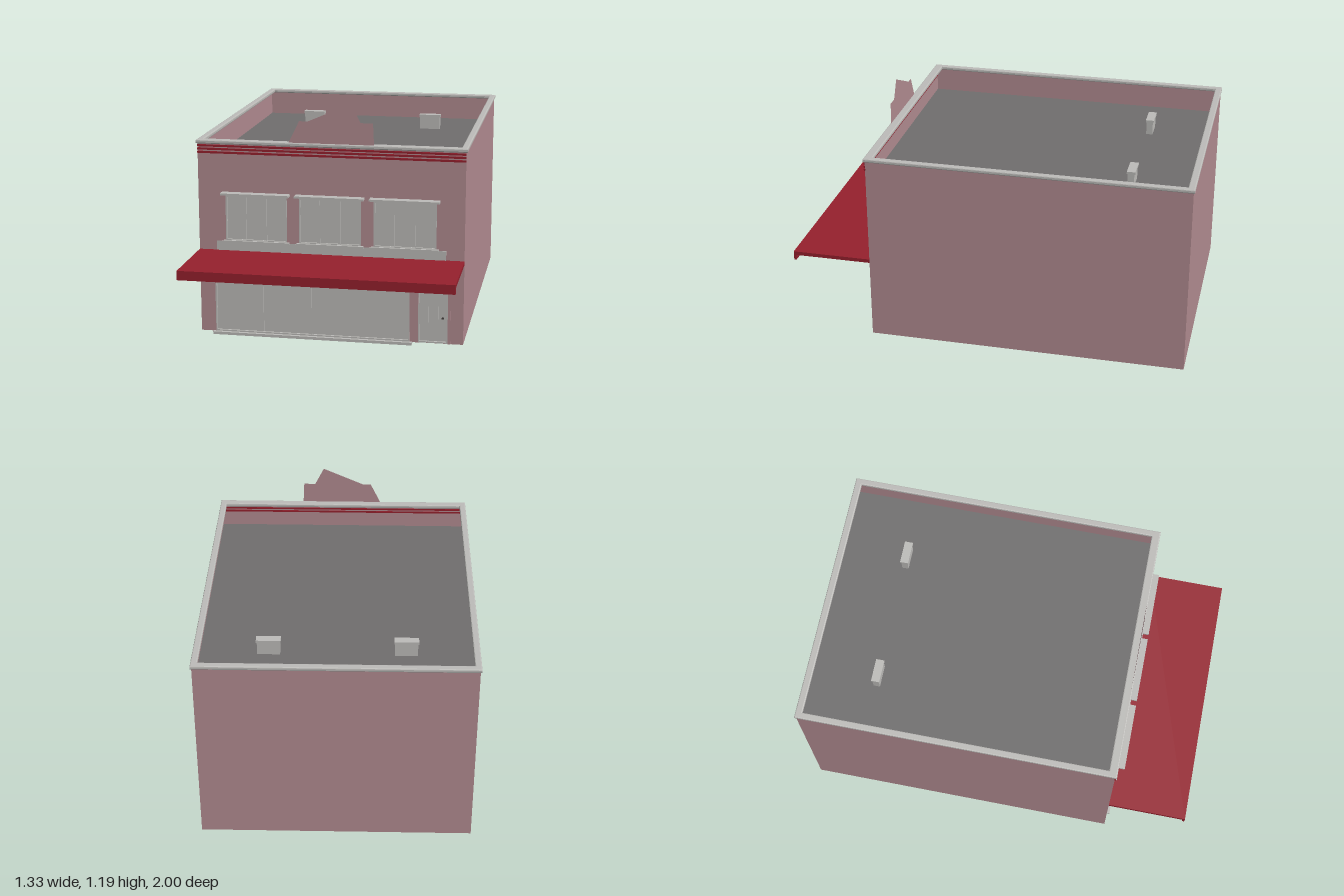
import * as THREE from 'three';

const mat = (name, color, side = THREE.FrontSide) => {
  const m = new THREE.MeshStandardMaterial({ color, side });
  m.name = name;
  return m;
};

export function createModel() {
  const model = new THREE.Group();
  model.name = 'shopBuilding';
  const pink = mat('pinkWall', 0xb28c91, THREE.DoubleSide);
  const grey = mat('greyTrim', 0xbdbcb9, THREE.DoubleSide);
  const red = mat('redPaint', 0x96202d);
  const roofGrey = mat('roofGrey', 0x706e6e, THREE.DoubleSide);
  const dark = mat('darkMetal', 0x45403f);

  const add = (name, geo, material, parent = model) => {
    const mesh = new THREE.Mesh(geo, material);
    mesh.name = name;
    parent.add(mesh);
    return mesh;
  };
  // Box given by its extents on each axis
  const box = (name, material, [x0, x1], [y0, y1], [z0, z1], parent) => {
    const m = add(name, new THREE.BoxGeometry(x1 - x0, y1 - y0, z1 - z0), material, parent);
    m.position.set((x0 + x1) / 2, (y0 + y1) / 2, (z0 + z1) / 2);
    return m;
  };
  const rect = (PathClass, x0, x1, y0, y1) => {
    const p = new PathClass();
    p.moveTo(x0, y0).lineTo(x1, y0).lineTo(x1, y1).lineTo(x0, y1).closePath();
    return p;
  };

  const W = 0.66, back = -0.994, front = 0.6, base = 0.013, top = 0.976;
  const depth = front - back, midZ = (front + back) / 2;
  const height = top - base, midY = (top + base) / 2;

  // Thin outer walls, open underneath
  for (const s of [-1, 1]) {
    const side = add(s > 0 ? 'leftWall' : 'rightWall', new THREE.PlaneGeometry(depth, height), pink);
    side.rotation.y = s * Math.PI / 2;
    side.position.set(s * W, midY, midZ);
  }
  const rear = add('backWall', new THREE.PlaneGeometry(2 * W, height), pink);
  rear.rotation.y = Math.PI;
  rear.position.set(0, midY, back);

  // Front wall with openings: three windows, shop window, door
  const openings = [-0.369, 0, 0.369].map(c => ({ name: 'upperWindow', x: [c - 0.154, c + 0.154], y: [0.487, 0.716], panes: 3 }));
  openings.push({ name: 'shopWindow', x: [-0.584, 0.395], y: [0.015, 0.39], panes: 4 });
  openings.push({ name: 'door', x: [0.437, 0.584], y: [0.015, 0.357], panes: 3 });
  const wall = rect(THREE.Shape, -W, W, base, top);
  for (const o of openings) wall.holes.push(rect(THREE.Path, ...o.x, ...o.y));
  add('frontWall', new THREE.ShapeGeometry(wall), pink).position.z = front;

  // Glazing, frames and thin pane dividers
  for (const o of openings) {
    const g = new THREE.Group();
    g.name = o.name;
    model.add(g);
    const [x0, x1] = o.x, [y0, y1] = o.y, t = 0.007;
    const pane = add('pane', new THREE.PlaneGeometry(x1 - x0, y1 - y0), grey, g);
    pane.position.set((x0 + x1) / 2, (y0 + y1) / 2, 0.594);
    const ring = rect(THREE.Shape, x0, x1, y0, y1);
    ring.holes.push(rect(THREE.Path, x0 + t, x1 - t, y0 + t, y1 - t));
    const frame = new THREE.ExtrudeGeometry(ring, { depth: 0.016, bevelEnabled: false });
    add('frame', frame, grey, g).position.z = 0.588;
    for (let i = 1; i < o.panes; i++) {
      const x = x0 + (x1 - x0) * i / o.panes;
      box('divider', grey, [x - 0.001, x + 0.001], [y0 + t, y1 - t], [0.59, 0.602], g);
    }
    if (o.name === 'upperWindow') {
      const c = (x0 + x1) / 2;
      box('headLedge', grey, [c - 0.171, c + 0.171], [0.724, 0.734], [0.598, 0.643], g);
      box('sill', grey, [c - 0.166, c + 0.166], [0.479, 0.49], [0.598, 0.617], g);
    }
  }

  // Shop window sill, door casing and handle
  box('shopSill', grey, [-0.597, 0.408], [0, 0.014], [0.586, 0.617]);
  box('doorHead', grey, [0.419, 0.604], [0.358, 0.378], [0.598, 0.612]);
  for (const x of [0.424, 0.584]) box('doorJamb', pink, [x, x + 0.014], [base, 0.358], [0.598, 0.607]);
  box('doorHandle', dark, [0.554, 0.564], [0.14, 0.147], [0.594, 0.608]);

  // Plate above the awning, and the awning with its front lip
  box('signPlate', grey, [-0.571, 0.571], [0.437, 0.484], [0.599, 0.604]);
  box('awning', red, [-W, W], [0.418, 0.437], [front, 1]);
  box('awningLip', red, [-W, W], [0.391, 0.419], [0.988, 1]);

  // Red bands below the cornice
  for (const y of [0.925, 0.942, 0.958]) box('redBand', red, [-W, W], [y, y + 0.01], [0.598, 0.606]);

  // Cornice ring with softened edges
  const b = 0.005;
  const cornice = rect(THREE.Shape, -0.667 + b, 0.667 - b, -0.608 + b, 1 - b);
  cornice.holes.push(rect(THREE.Path, -0.635 - b, 0.635 + b, -0.565 - b, 0.965 + b));
  const corniceGeo = new THREE.ExtrudeGeometry(cornice, { depth: 0.009, bevelThickness: b, bevelSize: b, bevelSegments: 2 });
  corniceGeo.rotateX(-Math.PI / 2);
  add('cornice', corniceGeo, grey).position.y = 0.972 + b;

  // Flat pediment over the front
  const pediment = new THREE.Shape([
    [-0.21, 0.975], [-0.203, 0.99], [-0.15, 1.098], [-0.107, 1.098], [0.104, 1.19],
    [0.151, 1.098], [0.211, 1.098], [0.217, 0.975],
  ].map(p => new THREE.Vector2(...p)));
  add('pediment', new THREE.ShapeGeometry(pediment), pink).position.z = 0.602;

  // Sunken roof with two capped vents
  const roof = add('roof', new THREE.PlaneGeometry(2 * W, depth), roofGrey);
  roof.rotation.x = -Math.PI / 2;
  roof.position.set(0, 0.845, midZ);
  for (const x of [-0.33, 0.33]) {
    box('vent', grey, [x - 0.055, x + 0.055], [0.845, 0.915], [-0.678, -0.645]);
    box('ventCap', grey, [x - 0.059, x + 0.059], [0.912, 0.925], [-0.683, -0.641]);
  }
  return model;
}
